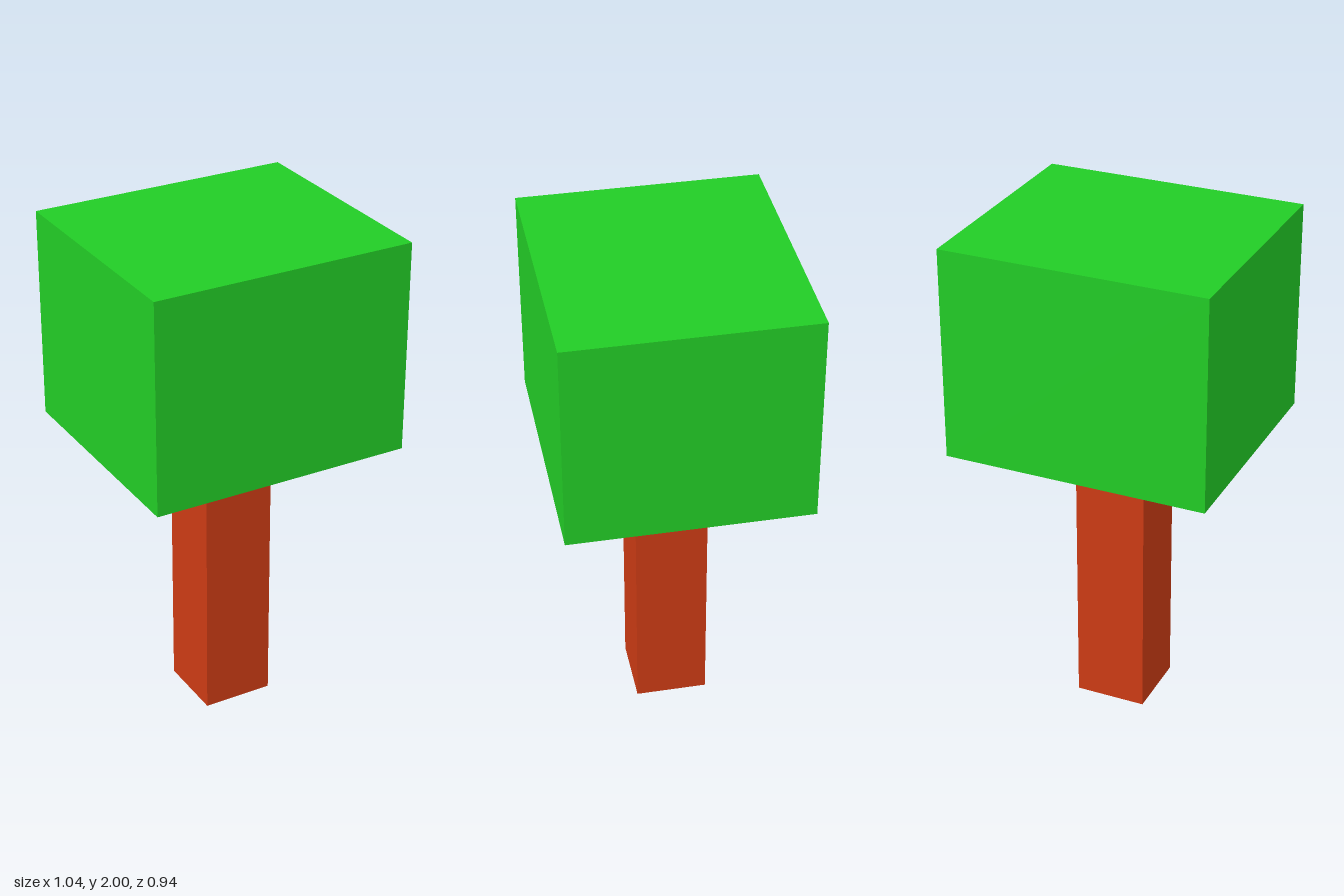
import * as THREE from 'three';

// Box standing on height y0 and reaching y1, centred on x and z
function block(name, color, width, depth, y0, y1) {
  const mesh = new THREE.Mesh(
    new THREE.BoxGeometry(width, y1 - y0, depth),
    new THREE.MeshStandardMaterial({ color })
  );
  mesh.name = name;
  mesh.position.y = (y0 + y1) / 2;
  return mesh;
}

export function createModel() {
  const tree = new THREE.Group();
  tree.name = 'tree';
  const canopyBase = 1.163;

  // Square trunk
  tree.add(block('trunk', 0xcc3b14, 0.284, 0.284, 0, canopyBase));

  // Boxy foliage, slightly wider than deep
  tree.add(block('canopy', 0x22cc26, 1.044, 0.936, canopyBase, 2));

  return tree;
}
